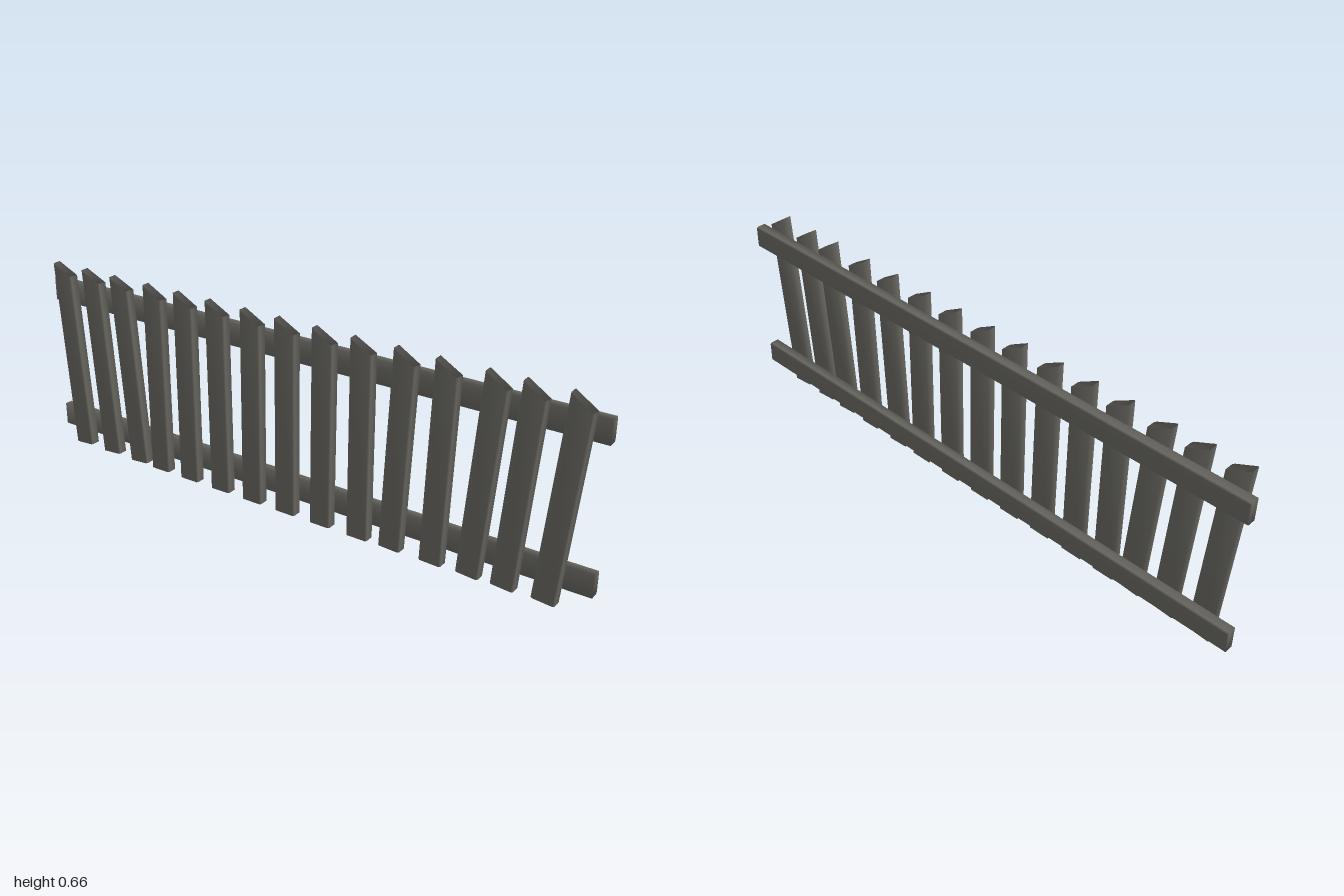
import * as THREE from 'three';
import { mergeVertices } from 'three/addons/utils/BufferGeometryUtils.js';

const DEPTH = 0.033;

// Board standing on y = 0, back face on z = 0, with softened front edges;
// the top is cut at a slant, falling by `drop` towards +x
function boardGeometry(width, length, drop = 0) {
  const w = width / 2, c = 0.005;
  const section = new THREE.Shape([
    [-w, 0], [w, 0], [w, -DEPTH + c], [w - c, -DEPTH], [-w + c, -DEPTH], [-w, -DEPTH + c],
  ].reverse().map(([x, y]) => new THREE.Vector2(x, y)));
  let g = new THREE.ExtrudeGeometry(section, { depth: length, bevelEnabled: false });
  g.rotateX(-Math.PI / 2);
  const p = g.attributes.position;
  for (let i = 0; i < p.count; i++) {
    if (p.getY(i) > length / 2) p.setY(i, length - drop * (p.getX(i) / width + 0.5));
  }
  // Shared normals give the boards their soft, worn shading
  g.deleteAttribute('normal');
  g.deleteAttribute('uv');
  g = mergeVertices(g);
  g.computeVertexNormals();
  return g;
}

export function createModel() {
  const fence = new THREE.Group();
  fence.name = 'fence';
  const wood = new THREE.MeshStandardMaterial({ color: 0x66655f });
  wood.name = 'weathered grey wood';

  // Pickets: x at the foot and x at the head, fanning out towards the ends
  const pickets = [
    [-0.888, -0.933], [-0.759, -0.805], [-0.634, -0.682], [-0.537, -0.54], [-0.412, -0.414],
    [-0.281, -0.286], [-0.152, -0.15], [-0.021, -0.021], [0.112, 0.115], [0.249, 0.249],
    [0.364, 0.393], [0.505, 0.527], [0.628, 0.679], [0.741, 0.791], [0.869, 0.925],
  ];
  const picketGeometry = boardGeometry(0.074, 0.652, 0.04);
  pickets.forEach(([foot, head], i) => {
    const picket = new THREE.Mesh(picketGeometry, wood);
    const lean = Math.atan2(foot - head, 0.63);
    picket.name = `picket${i + 1}`;
    picket.rotation.z = lean;
    picket.position.set(foot, 0.037 * Math.abs(Math.sin(lean)), 0);
    fence.add(picket);
  });

  // Two slightly tilted rails behind the pickets
  const railGeometry = boardGeometry(0.076, 2);
  railGeometry.translate(0, -1, 0).rotateZ(Math.PI / 2).rotateX(Math.PI);
  for (const [name, y, tilt] of [['lowerRail', 0.081, 0.005], ['upperRail', 0.552, 0.006]]) {
    const rail = new THREE.Mesh(railGeometry, wood);
    rail.name = name;
    rail.position.y = y;
    rail.rotation.z = tilt;
    fence.add(rail);
  }
  return fence;
}
